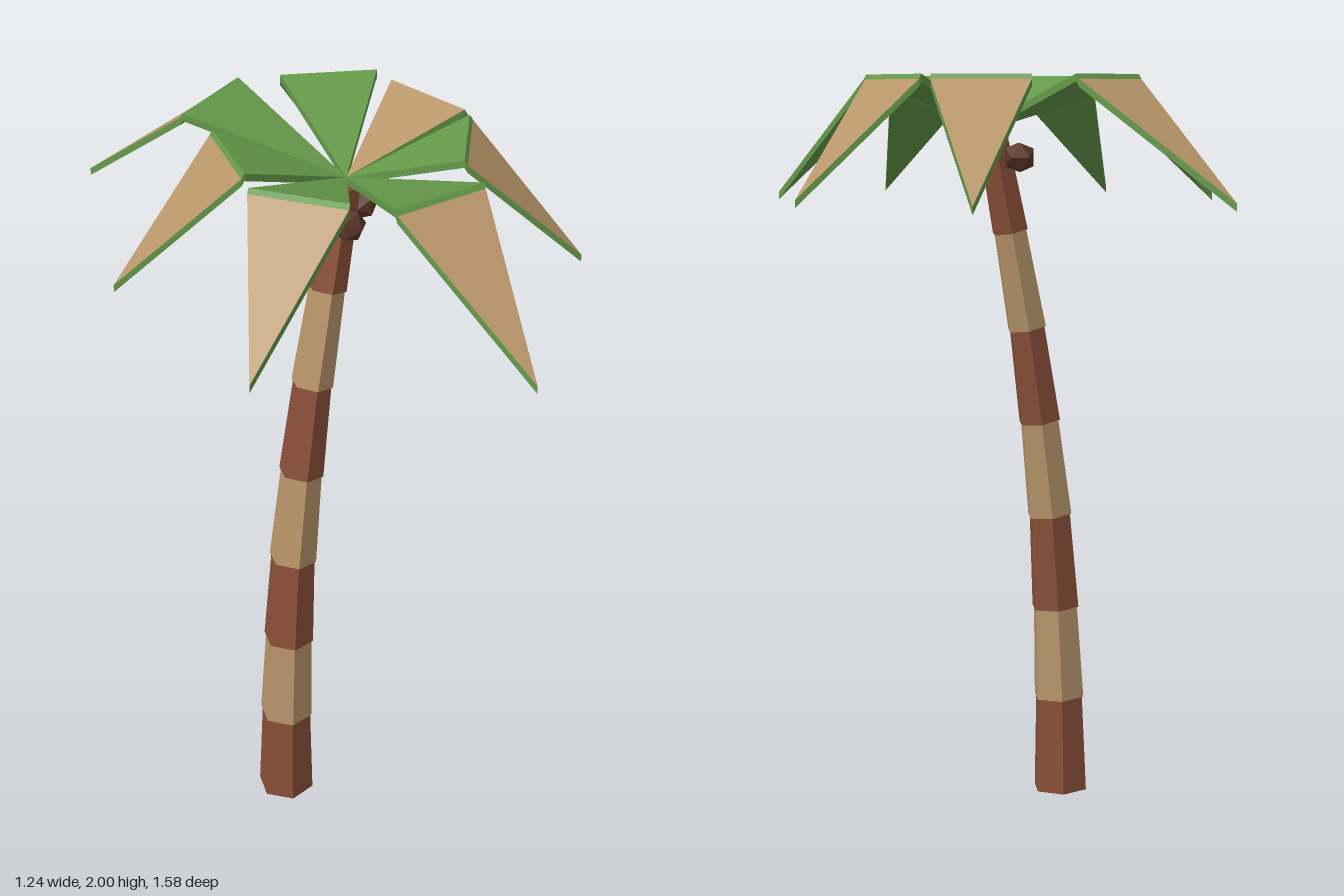
import * as THREE from 'three';

const material = (name, color) =>
  Object.assign(new THREE.MeshStandardMaterial({ color, flatShading: true }), { name });

// One folded frond along +x: rises to a crease, then droops to a point.
// Material slots: 0 = green, 1 = tan.
function frondGeometry(length, innerSlot) {
  const r = length / 2, h = 0.127, t = 0.02;
  const A = [0, 1.875, 0], T = [length, 1.685, 0];
  const L = [r, 2, h], R = [r, 2, -h];
  const L2 = [r + 0.008, 1.987, h], R2 = [r + 0.008, 1.987, -h];
  const low = ([x, y, z]) => [x, y - t, z];

  const inner = [[A, L, R]];
  const crease = [[L, L2, R2], [L, R2, R]];
  const outer = [[L2, T, R2]];
  const under = [...inner, ...crease, ...outer].map(([a, b, c]) => [low(a), low(c), low(b)]);
  const rim = [A, L, L2, T, R2, R];
  const sides = rim.flatMap((p, i) => {
    const q = rim[(i + 1) % rim.length];
    return [[p, low(p), low(q)], [p, low(q), q]];
  });

  const geometry = new THREE.BufferGeometry();
  const positions = [];
  for (const [faces, slot] of [[inner, innerSlot], [outer, 1], [[...crease, ...under, ...sides], 0]]) {
    geometry.addGroup(positions.length / 3, faces.length * 3, slot);
    positions.push(...faces.flat(2));
  }
  geometry.setAttribute('position', new THREE.Float32BufferAttribute(positions, 3));
  geometry.computeVertexNormals();
  return geometry;
}

export function createModel() {
  const model = new THREE.Group();
  model.name = 'palmTree';
  const brown = material('barkBrown', 0x8a5039);
  const tan = material('dryTan', 0xb8966a);
  const green = material('leafGreen', 0x659a4a);
  const dark = material('coconutBrown', 0x5c3628);

  // Leaning trunk: tapered hexagonal segments in alternating colours
  const trunk = new THREE.Group();
  trunk.name = 'trunk';
  const path = [
    [-0.228, 0], [-0.222, 0.27], [-0.208, 0.53], [-0.187, 0.795],
    [-0.151, 1.06], [-0.107, 1.32], [-0.05, 1.585], [0.012, 1.855],
  ].map(([x, y]) => new THREE.Vector3(x, y, 0));
  const up = new THREE.Vector3(0, 1, 0);
  for (let i = 0; i < 7; i++) {
    const axis = path[i + 1].clone().sub(path[i]);
    const radius = 0.079 - i * 0.0045;
    const segment = new THREE.Mesh(
      new THREE.CylinderGeometry(radius - 0.009, radius, axis.length(), 6, 1, false, Math.PI / 6),
      i % 2 ? tan : brown
    );
    segment.name = 'trunkSegment' + (i + 1);
    segment.position.copy(path[i]).addScaledVector(axis, 0.5);
    segment.quaternion.setFromUnitVectors(up, axis.normalize());
    trunk.add(segment);
  }
  model.add(trunk);

  // Seven fronds of varied length around the crown
  const crown = new THREE.Group();
  crown.name = 'crown';
  crown.position.x = 0.02;
  [0.6, 0.705, 0.81, 0.615, 0.713, 0.81, 0.6].forEach((length, i) => {
    const frond = new THREE.Mesh(frondGeometry(length, i === 0 ? 1 : 0), [green, tan]);
    frond.name = 'frond' + (i + 1);
    frond.rotation.y = (i / 7) * Math.PI * 2;
    crown.add(frond);
  });
  model.add(crown);

  // Three coconuts hanging under the crown
  for (let i = 0; i < 3; i++) {
    const a = (i / 3) * Math.PI * 2;
    const coconut = new THREE.Mesh(new THREE.IcosahedronGeometry(0.045, 0), dark);
    coconut.name = 'coconut' + (i + 1);
    coconut.position.set(0.002 + 0.072 * Math.cos(a), 1.783, 0.072 * Math.sin(a));
    coconut.rotation.y = a;
    model.add(coconut);
  }
  return model;
}
